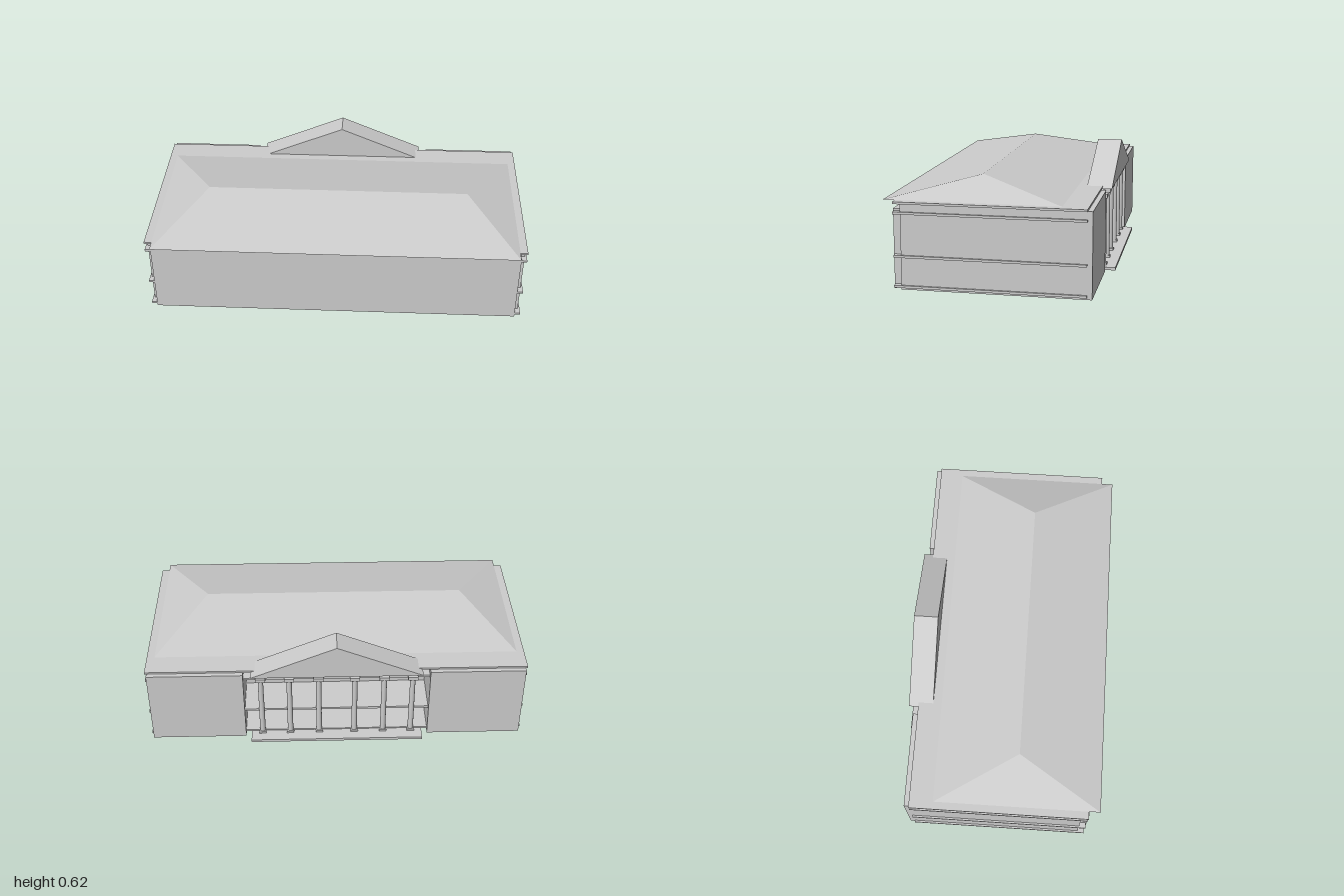
import * as THREE from 'three';

export function createModel() {
  const group = new THREE.Group();
  const stone = new THREE.MeshStandardMaterial({ color: 0xcccccc });
  stone.name = 'pale grey stone';

  const add = (name, geometry, x = 0, y = 0, z = 0) => {
    const mesh = new THREE.Mesh(geometry, stone);
    mesh.name = name;
    mesh.position.set(x, y, z);
    group.add(mesh);
    return mesh;
  };
  // Box given by its minimum and maximum on each axis
  const block = (name, x0, x1, y0, y1, z0, z1) =>
    add(name, new THREE.BoxGeometry(x1 - x0, y1 - y0, z1 - z0),
      (x0 + x1) / 2, (y0 + y1) / 2, (z0 + z1) / 2);

  // Walls: two wings flank a recessed centre, with a thin wall across the front
  block('leftWing', 0.49, 0.99, 0, 0.425, -0.49, 0.44);
  block('rightWing', -0.99, -0.49, 0, 0.425, -0.49, 0.44);
  block('centreBody', -0.49, 0.49, 0, 0.38, -0.25, 0.44);
  block('frontWall', -0.97, 0.97, 0, 0.397, 0.44, 0.48);

  // Floor slabs, showing as bands on the sides
  for (const y of [0.01, 0.16, 0.374]) {
    block('floorSlab', -1, 1, y, y + 0.012, -0.465, 0.475);
  }
  block('roofDeck', -1, 1, 0.424, 0.435, -0.465, 0.475);

  // Hip roof
  const eave = [[-0.96, 0.535], [0.96, 0.535], [0.96, -0.34], [-0.96, -0.34]]
    .map(([x, z]) => [x, 0.4355, z]);
  const ridgeR = [-0.7, 0.53, 0.0975], ridgeL = [0.7, 0.53, 0.0975];
  const [a, b, c, d] = eave;
  const faces = [
    [a, b, ridgeL], [a, ridgeL, ridgeR],
    [c, d, ridgeR], [c, ridgeR, ridgeL],
    [b, c, ridgeL], [d, a, ridgeR],
    [a, d, c], [a, c, b],
  ];
  const roof = new THREE.BufferGeometry();
  roof.setAttribute('position', new THREE.Float32BufferAttribute(faces.flat(2), 3));
  roof.computeVertexNormals();
  add('hipRoof', roof);

  // Gable over the porch
  const gable = new THREE.Shape([
    new THREE.Vector2(-0.45, 0), new THREE.Vector2(0.45, 0), new THREE.Vector2(0, 0.189),
  ]);
  add('porchGable', new THREE.ExtrudeGeometry(gable, { depth: 0.13, bevelEnabled: false }),
    0, 0.426, -0.515);

  // Porch floor and six columns
  block('porchFloor', -0.46, 0.46, 0, 0.015, -0.54, -0.25);
  const shaft = new THREE.CylinderGeometry(0.014, 0.015, 0.36, 12);
  for (const side of [-1, 1]) {
    for (const offset of [0.095, 0.25, 0.4]) {
      const x = side * offset;
      add('column', shaft, x, 0.195, -0.47);
      block('columnBase', x - 0.019, x + 0.019, 0.015, 0.026, -0.489, -0.451);
      block('columnCapital', x - 0.026, x + 0.026, 0.372, 0.392, -0.489, -0.451);
    }
  }
  return group;
}
